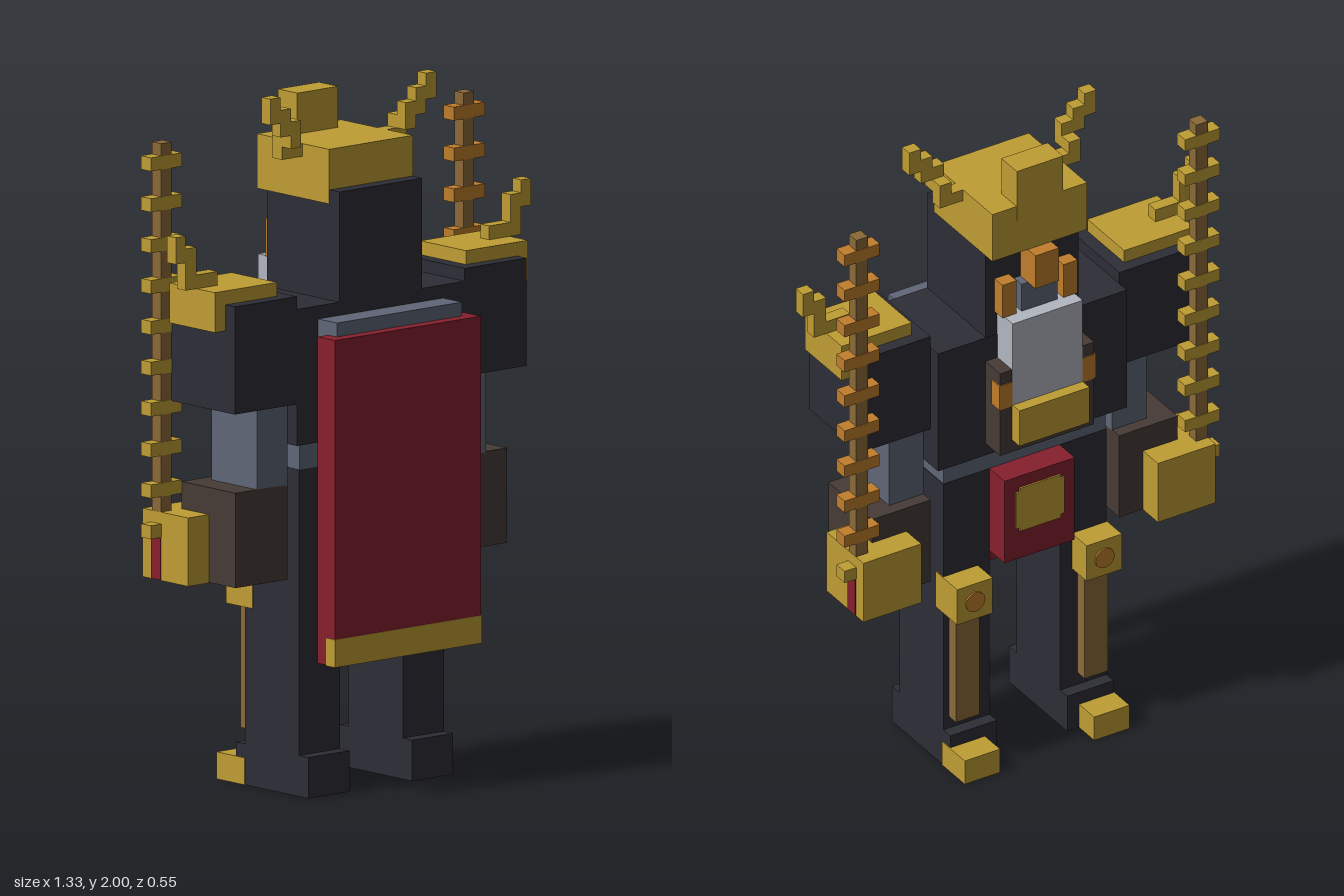
import * as THREE from 'three';

const mat = (name, color) => {
  const m = new THREE.MeshStandardMaterial({ color });
  m.name = name;
  return m;
};

export function createModel() {
  const model = new THREE.Group();
  model.name = 'blockWarrior';

  const black = mat('black', 0x2d2d36);
  const red = mat('red', 0x87202e);
  const gold = mat('gold', 0xbf9d33);
  const orange = mat('orange', 0xc07e2b);
  const slate = mat('slate', 0x5f6676);
  const brown = mat('darkBrown', 0x463b36);
  const wood = mat('wood', 0x8b6938);
  const silver = mat('silver', 0xb2b6c0);

  // Box from its minimum and maximum on each axis
  const box = (name, m, x0, x1, y0, y1, z0, z1) => {
    const mesh = new THREE.Mesh(new THREE.BoxGeometry(x1 - x0, y1 - y0, z1 - z0), m);
    mesh.position.set((x0 + x1) / 2, (y0 + y1) / 2, (z0 + z1) / 2);
    mesh.name = name;
    model.add(mesh);
    return mesh;
  };
  // The same box on both sides
  const pair = (name, m, x0, x1, ...yz) => {
    box(name + 'Left', m, x0, x1, ...yz);
    box(name + 'Right', m, -x1, -x0, ...yz);
  };
  // Box centred on x = 0
  const mid = (name, m, half, ...yz) => box(name, m, -half, half, ...yz);

  // Head and crown
  mid('head', black, 0.155, 1.41, 1.73, -0.155, 0.155);
  mid('crown', gold, 0.158, 1.69, 1.847, -0.195, 0.113);
  mid('crownPeak', gold, 0.077, 1.8, 1.965, -0.197, -0.115);

  // Stepped horns
  pair('hornBase', gold, 0.155, 0.235, 1.81, 1.847, -0.04, 0);
  pair('hornRise', gold, 0.196, 0.235, 1.81, 1.885, -0.04, 0);
  pair('hornLower', gold, 0.196, 0.235, 1.847, 1.925, 0, 0.038);
  pair('hornMiddle', gold, 0.235, 0.273, 1.885, 1.963, 0, 0.038);
  pair('hornTip', gold, 0.273, 0.312, 1.925, 2.0, 0, 0.038);

  // Torso, waist and back plate
  mid('torso', black, 0.315, 1.02, 1.413, -0.157, 0.155);
  mid('waist', slate, 0.27, 0.94, 1.02, -0.115, 0.115);
  mid('pelvis', slate, 0.12, 0.67, 0.94, -0.1, 0.1);
  mid('backPlate', slate, 0.235, 1.02, 1.375, 0.155, 0.235);

  // Cape with a trimmed hem
  mid('cape', red, 0.274, 0.396, 1.335, 0.197, 0.271);
  mid('capeHem', gold, 0.276, 0.394, 0.474, 0.235, 0.273);

  // Chest ornament
  mid('chestBase', brown, 0.157, 1.06, 1.335, -0.235, -0.155);
  mid('chestPlate', silver, 0.117, 1.215, 1.49, -0.238, -0.155);
  mid('chestBar', gold, 0.117, 1.1, 1.218, -0.274, -0.235);
  mid('chestStem', slate, 0.06, 1.49, 1.58, -0.195, -0.155);
  mid('chestJewel', orange, 0.039, 1.58, 1.69, -0.235, -0.155);
  pair('chestSideJewel', orange, 0.078, 0.125, 1.49, 1.6, -0.197, -0.155);
  pair('chestStud', orange, 0.117, 0.161, 1.215, 1.295, -0.238, -0.195);

  // Belt cloth and its plate
  mid('beltCloth', red, 0.117, 0.665, 0.94, -0.195, -0.1);
  mid('beltPlate', gold, 0.08, 0.77, 0.89, -0.2, -0.194);
  mid('beltPlateTall', gold, 0.068, 0.758, 0.902, -0.2, -0.194);

  // Arms, shoulder pads and hands
  pair('upperArm', black, 0.315, 0.548, 1.14, 1.45, -0.117, 0.155);
  pair('shoulderPad', gold, 0.355, 0.588, 1.375, 1.49, -0.08, 0.115);
  pair('padSpikeBase', gold, 0.51, 0.63, 1.49, 1.53, 0, 0.038);
  pair('padSpikeRise', gold, 0.59, 0.63, 1.49, 1.61, 0, 0.038);
  pair('padSpikeTip', gold, 0.63, 0.667, 1.57, 1.647, 0, 0.038);
  pair('forearm', slate, 0.315, 0.43, 0.9, 1.14, -0.08, 0.115);
  pair('hand', brown, 0.315, 0.51, 0.63, 0.903, -0.117, 0.115);
  pair('handGuard', gold, 0.395, 0.588, 0.628, 0.825, -0.195, 0);
  pair('gripStripe', red, 0.585, 0.591, 0.63, 0.785, -0.155, -0.115);

  // Ringed rods, orange on the left and gold on the right
  pair('rod', wood, 0.548, 0.587, 0.785, 1.885, -0.155, -0.116);
  for (let i = 0; i < 10; i++) {
    const y = 0.752 + i * 0.1176;
    box('rodRingLeft', i === 0 ? gold : orange, 0.51, 0.627, y, y + 0.039, -0.157, -0.114);
    box('rodRingRight', gold, -0.627, -0.51, y, y + 0.039, -0.157, -0.114);
  }

  // Legs, knees and feet
  pair('leg', black, 0.118, 0.272, 0.1, 0.94, -0.117, 0.115);
  pair('foot', black, 0.118, 0.272, 0, 0.118, -0.155, 0.155);
  pair('toeCap', gold, 0.157, 0.275, 0, 0.078, -0.235, -0.115);
  pair('shinStrip', wood, 0.176, 0.254, 0.157, 0.52, -0.155, -0.115);
  pair('kneeGuard', gold, 0.157, 0.275, 0.512, 0.63, -0.195, -0.08);
  for (const s of [-1, 1]) {
    const stud = new THREE.Mesh(new THREE.CylinderGeometry(0.032, 0.032, 0.006, 12), orange);
    stud.rotation.x = Math.PI / 2;
    stud.position.set(s * 0.216, 0.571, -0.197);
    stud.name = 'kneeStud';
    model.add(stud);
  }

  return model;
}
